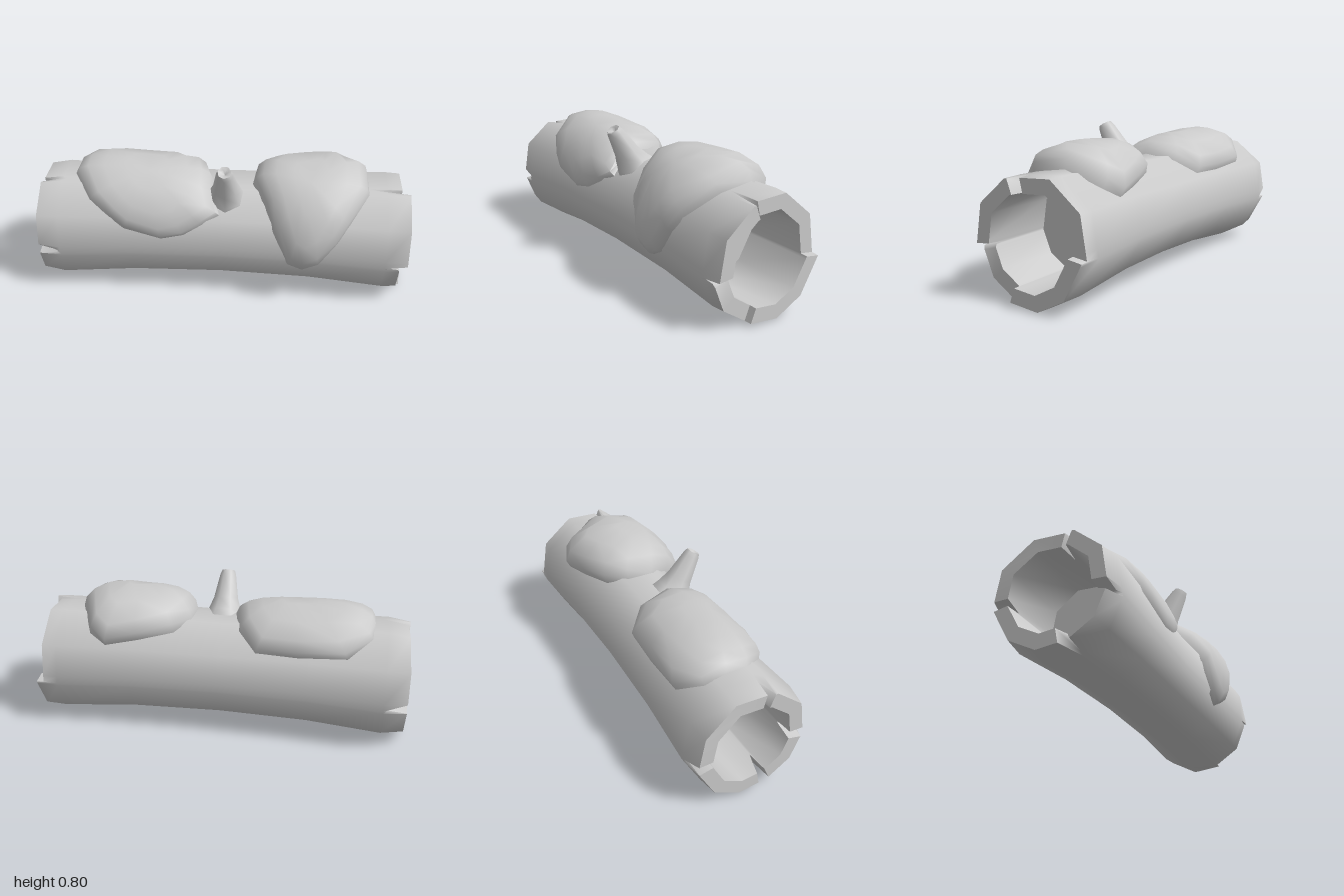
import * as THREE from 'three';
import { toCreasedNormals } from 'three/addons/utils/BufferGeometryUtils.js';

const material = new THREE.MeshStandardMaterial({ color: 0xcccccc, side: THREE.DoubleSide });
const CZ = -0.025, CY = 0.32; // axis of the log

// Skin a list of closed rings, each a list of [x, y, z]
function loft(rings, crease) {
  const n = rings[0].length, index = [];
  for (let i = 0; i < rings.length - 1; i++) {
    for (let j = 0; j < n; j++) {
      const a = i * n + j, b = i * n + (j + 1) % n;
      index.push(a, b, a + n, b, b + n, a + n);
    }
  }
  const g = new THREE.BufferGeometry();
  g.setAttribute('position', new THREE.Float32BufferAttribute(rings.flat(2), 3));
  g.setIndex(index);
  return toCreasedNormals(g, crease);
}

function addMesh(parent, name, geometry) {
  const mesh = new THREE.Mesh(geometry, material);
  mesh.name = name;
  parent.add(mesh);
  return mesh;
}

// Ten-sided log section as [z, y], running from the front over the top
const section = [
  [0.29, 0.27], [0.255, 0.485], [0.1, 0.615], [-0.135, 0.625], [-0.305, 0.485],
  [-0.34, 0.27], [-0.235, 0.08], [-0.08, 0], [0.09, 0.02], [0.225, 0.11],
];

// Columns round the log: [place on section, inset at right end, inset at left end]
const columns = [
  [0, 0.1, 0.11], [0.06, 0, 0.09], [0.17, 0, 0], [1, 0, 0], [2, 0, 0], [2.06, 0, 0],
  [2.2, 0.2, 0.13], [2.24, 0.04, 0.01], [3, 0.04, 0.01], [4, 0.04, 0],
  [4.82, 0.04, 0], [4.98, 0.04, 0.1], [5, 0, 0.1], [5.08, 0, 0], [6, 0, 0], [7, 0, 0],
  [7.7, 0, 0], [7.98, 0, 0.12], [8, 0.04, 0.12], [8.08, 0.04, 0],
  [9, 0.04, 0], [9.84, 0.04, 0], [9.96, 0.05, 0.1],
];

function logGeometry() {
  // One end from its inner floor out to the body: [x rule from the column's end, section scale]
  const end = (hole, rim) => [
    [() => 0.6, 0], [() => 0.6, hole], [e => e, hole], [e => e, rim],
    [e => Math.min(0.88, e - 0.02), 1], [() => 0.48, 0.93],
  ];
  const ring = (rule, scale, side) => columns.map(([u, right, left]) => {
    const k = Math.floor(u), f = u - k, p = section[k], q = section[(k + 1) % 10];
    const z = p[0] + (q[0] - p[0]) * f, y = p[1] + (q[1] - p[1]) * f;
    const x = side * rule(1 - (side > 0 ? right : left));
    const lift = Math.abs(x) < 0.5 ? 0.012 : 0;
    return [x, CY + (y - CY) * scale + lift, CZ + (z - CZ) * scale];
  });
  const g = loft([
    ...end(0.74, 0.985).map(([r, s]) => ring(r, s, 1)),
    ring(() => 0, 0.895, 1),
    ...end(0.7, 0.94).reverse().map(([r, s]) => ring(r, s, -1)),
  ], 1.2);
  // Round shading for the outer body, however its columns are spaced
  const p = g.attributes.position, v = new THREE.Vector3();
  for (let i = 0; i < p.count; i++) {
    v.set(0, p.getY(i) - CY, p.getZ(i) - CZ);
    if (v.length() > 0.25 && Math.abs(p.getX(i)) < 0.89) {
      v.normalize();
      g.attributes.normal.setXYZ(i, v.x, v.y, v.z);
    }
  }
  return g;
}

// Domed moss cushion wrapped on the log; outline given as [x, degrees up from the front],
// front is the share of the thickness kept where the cushion hangs down the front
function mossGeometry(outline, thickness, front) {
  const n = outline.length;
  const midX = outline.reduce((s, p) => s + p[0], 0) / n;
  const midA = outline.reduce((s, p) => s + p[1], 0) / n;
  const rings = [1, 0.95, 0.82, 0.6, 0.3, 0].map(t => outline.map(p => {
    const x = midX + (p[0] - midX) * t;
    const a = THREE.MathUtils.degToRad(midA + (p[1] - midA) * t);
    const base = 0.287 + 0.035 * (x / 0.9) ** 2;
    const swell = thickness * (front + (1 - front) * Math.sin(a - 0.2)) * Math.sqrt(1 - t ** 3.5);
    const r = base + swell;
    return [x, CY + 0.01 + r * Math.sin(a), CZ + r * Math.cos(a)];
  }));
  return loft(rings, 1.2);
}

export function createModel() {
  const model = new THREE.Group();
  model.name = 'hollowLog';

  // Hollow trunk with chipped ends
  addMesh(model, 'trunk', logGeometry());

  // Moss cushions
  addMesh(model, 'rightMoss', mossGeometry([
    [-0.81, 78], [-0.71, 48], [-0.6, 31], [-0.52, 20], [-0.32, 10], [-0.2, 15], [-0.1, 27],
    [-0.01, 38], [-0.05, 60], [-0.06, 85], [-0.1, 118], [-0.2, 142], [-0.42, 144],
    [-0.68, 142], [-0.8, 120], [-0.81, 98],
  ], 0.1, 0.38));
  addMesh(model, 'leftMoss', mossGeometry([
    [0.16, 78], [0.23, 50], [0.28, 22], [0.36, -15], [0.44, -22], [0.53, -12], [0.62, 14],
    [0.68, 33], [0.78, 65], [0.78, 100], [0.7, 135], [0.61, 146], [0.44, 138], [0.25, 126],
    [0.17, 105],
  ], 0.128, 0.64));

  // Broken branch stub with a flared root and a small hollow tip
  const profile = [
    [0.13, -0.04], [0.095, 0.03], [0.07, 0.1], [0.046, 0.235],
    [0.037, 0.26], [0.02, 0.255], [0, 0.235],
  ];
  const stub = addMesh(model, 'branchStub', toCreasedNormals(
    new THREE.LatheGeometry(profile.map(p => new THREE.Vector2(...p)), 7), 1));
  stub.position.set(0.02, 0.555, 0.09);
  stub.quaternion.setFromUnitVectors(
    new THREE.Vector3(0, 1, 0), new THREE.Vector3(0, 0.225, 0.135).normalize());

  return model;
}
